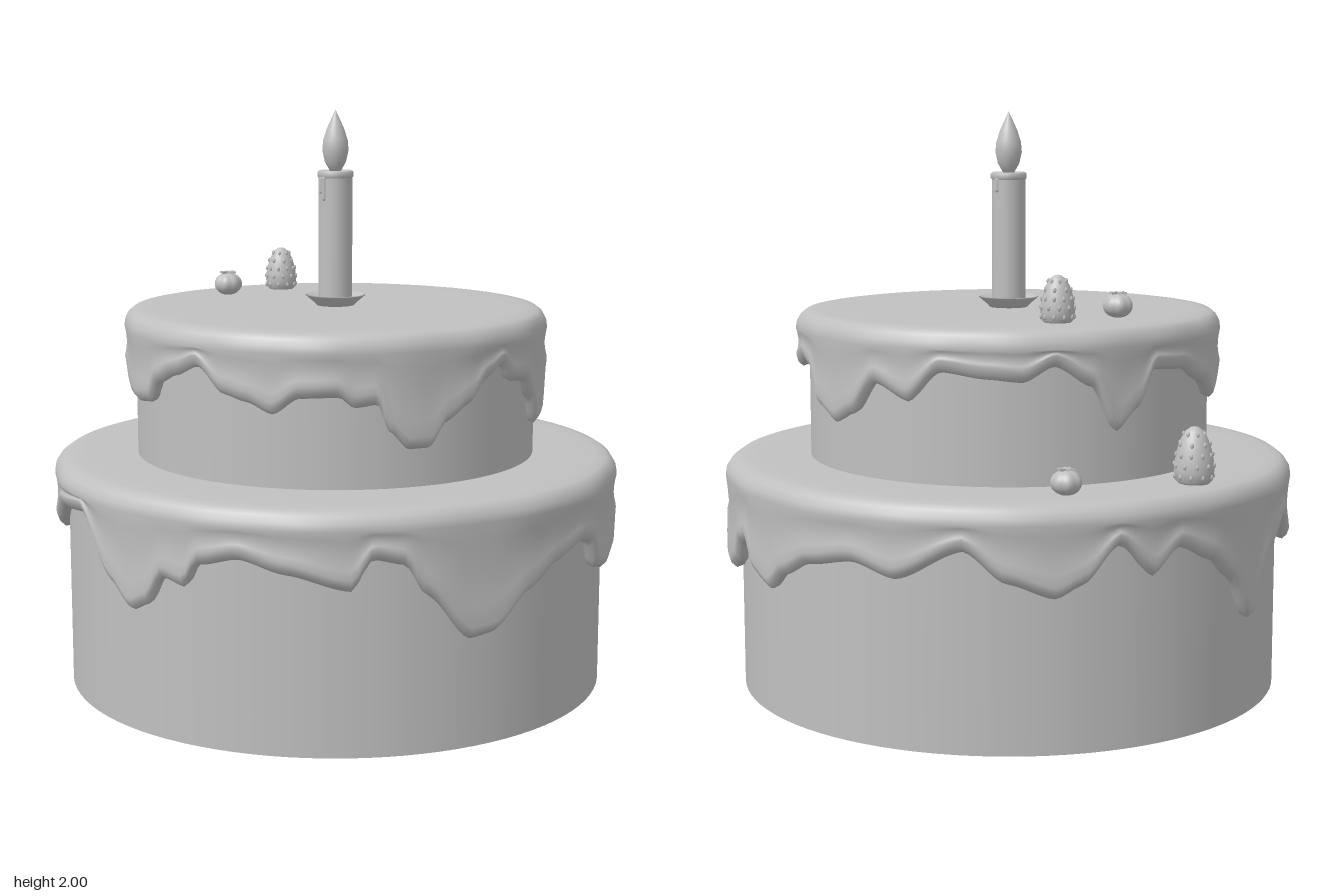
import * as THREE from 'three';

const material = new THREE.MeshStandardMaterial({ color: 0xc0c0c0 });
material.name = 'plain grey';

// Lower edge of the icing: [degrees from the front towards +x, height] pairs
const LOWER_EDGE = [0, .6, 12, .55, 16, .65, 22, .63, 26, .53, 35, .37, 40, .38, 48, .49, 56, .56, 65, .6, 70, .58,
  73, .48, 80, .455, 86, .48, 89, .58, 104, .6, 108, .57, 112, .455, 117, .43, 123, .47, 126, .55, 131, .57,
  135, .48, 141, .445, 146, .51, 154, .57, 164, .6, 173, .56, 186, .66, 194, .56, 203, .51, 208, .55, 215, .67,
  222, .56, 228, .64, 236, .58, 242, .5, 249, .34, 256, .54, 265, .63, 277, .51, 288, .58, 299, .67, 311, .69,
  322, .49, 327, .42, 331, .45, 335, .55, 340, .53, 343, .61, 351, .64];
const UPPER_EDGE = [0, 1.11, 10, 1.115, 14, 1.08, 20, 1.09, 23, 1.0, 28, .94, 34, .94, 39, 1.02, 46, 1.07, 51, 1.14,
  58, 1.18, 62, 1.12, 70, 1.11, 75, 1.04, 80, .94, 85, .95, 89, 1.08, 94, 1.11, 104, 1.135, 111, 1.12, 120, 1.157,
  128, 1.135, 134, 1.02, 142, .98, 150, 1.02, 158, 1.13, 168, 1.08, 177, 1.18, 189, 1.16, 198, 1.15, 206, 1.2,
  216, 1.13, 223, .98, 230, 1.05, 235, 1.17, 246, 1.16, 257, 1.1, 266, 1.03, 277, 1.1, 285, 1.11, 298, 1.04,
  303, 1.03, 311, 1.04, 315, 1.11, 323, 1.15, 331, 1.19, 339, 1.11, 346, 1.09, 353, 1.055];

// Smooth interpolation between the edge points, closed around the circle
function edgeHeight(points, deg) {
  const n = points.length;
  let i = n - 2;
  while (points[i] > deg) i -= 2;
  const a0 = points[i], y0 = points[i + 1];
  const a1 = i + 2 < n ? points[i + 2] : 360, y1 = points[(i + 3) % n];
  const t = (deg - a0) / (a1 - a0);
  return y0 + (y1 - y0) * (0.35 * t + 0.65 * t * t * (3 - 2 * t));
}

function add(parent, name, geometry, x = 0, y = 0, z = 0) {
  const mesh = new THREE.Mesh(geometry, material);
  mesh.name = name;
  mesh.position.set(x, y, z);
  parent.add(mesh);
  return mesh;
}

function lathe(points, segments) {
  return new THREE.LatheGeometry(points.map(p => new THREE.Vector2(p[0], p[1])), segments);
}

// Icing: a rounded cap whose side runs down to the wavy edge and curls in
function icingGeometry(radius, top, thick, edge) {
  const columns = 300, position = [], index = [];
  let rows = 0;
  for (let j = 0; j < columns; j++) {
    const deg = j * 360 / columns, a = THREE.MathUtils.degToRad(deg);
    const low = edgeHeight(edge, deg);
    const bump = 0.003 * Math.sin(a * 7 + 1) + 0.002 * Math.sin(a * 17);
    const t = thick + bump, shoulder = top - 0.065;
    const profile = [[0.0001, top], [radius * 0.5, top], [radius * 0.9, top], [radius - 0.025, top - 0.001],
      [radius + t * 0.25, top - 0.006], [radius + t * 0.65, top - 0.02], [radius + t * 0.92, top - 0.042]];
    for (let k = 0; k <= 5; k++) {
      const s = k / 5;
      const r = radius + t * (1 - 0.18 * Math.sin(Math.PI * s));
      profile.push([r, shoulder + (low + 0.04 - shoulder) * s]);
    }
    profile.push([radius + t * 0.85, low + 0.016], [radius + t * 0.5, low], [radius - 0.012, low + 0.012]);
    rows = profile.length;
    for (const [r, y] of profile) position.push(r * Math.sin(a), y, r * Math.cos(a));
  }
  for (let j = 0; j < columns; j++) {
    const next = (j + 1) % columns;
    for (let i = 0; i < rows - 1; i++) {
      const p = j * rows + i, q = next * rows + i;
      index.push(p, p + 1, q + 1, p, q + 1, q);
    }
  }
  const geometry = new THREE.BufferGeometry();
  geometry.setAttribute('position', new THREE.Float32BufferAttribute(position, 3));
  geometry.setIndex(index);
  geometry.computeVertexNormals();
  return geometry;
}

// Strawberry standing on its wide end, with raised seeds in staggered rows
function strawberry(name, x, y, z, width, height) {
  const group = new THREE.Group();
  group.name = name;
  const shape = [[0, 0], [.7, 0], [.92, .08], [1, .24], [.96, .42], [.85, .6], [.68, .78], [.45, .92], [.2, .985], [0, 1]];
  add(group, 'strawberryBody', lathe(shape.map(p => [p[0] * width, p[1] * height]), 24));
  const seed = new THREE.SphereGeometry(0.006, 6, 5);
  [[.15, .95], [.34, .98], [.52, .9], [.7, .76], [.87, .53]].forEach(([h, r], row) => {
    const count = row < 3 ? 10 : 7;
    for (let i = 0; i < count; i++) {
      const a = (i + row % 2 / 2) / count * Math.PI * 2;
      const mesh = add(group, 'strawberrySeed', seed, Math.sin(a) * r * width, h * height, Math.cos(a) * r * width);
      mesh.scale.y = 1.6;
    }
  });
  group.position.set(x, y, z);
  return group;
}

// Round berry with shallow lobes and a star-shaped crown
function berry(name, x, y, z) {
  const group = new THREE.Group();
  group.name = name;
  const body = new THREE.SphereGeometry(0.05, 42, 16);
  const p = body.attributes.position;
  for (let i = 0; i < p.count; i++) {
    const a = Math.atan2(p.getX(i), p.getZ(i));
    const s = 0.93 + 0.1 * Math.abs(Math.cos(a * 3.5));
    p.setXYZ(i, p.getX(i) * s, p.getY(i) * 0.82, p.getZ(i) * s);
  }
  body.computeVertexNormals();
  add(group, 'berryBody', body, 0, 0.041, 0);
  const star = new THREE.Shape();
  for (let i = 0; i < 12; i++) {
    const r = i % 2 ? 0.012 : 0.03, a = i * Math.PI / 6;
    star[i ? 'lineTo' : 'moveTo'](r * Math.cos(a), r * Math.sin(a));
  }
  const crown = new THREE.ExtrudeGeometry(star, { depth: 0.008, bevelEnabled: false });
  crown.rotateX(-Math.PI / 2);
  add(group, 'berryCrown', crown, 0, 0.079, 0);
  group.position.set(x, y, z);
  return group;
}

export function createModel() {
  const model = new THREE.Group();
  model.name = 'tieredCake';

  // Tiers and icing
  add(model, 'lowerTier', new THREE.CylinderGeometry(0.945, 0.945, 0.78, 96), 0, 0.39, 0);
  add(model, 'lowerIcing', icingGeometry(0.945, 0.81, 0.05, LOWER_EDGE));
  add(model, 'upperTier', new THREE.CylinderGeometry(0.7, 0.7, 0.5, 96), 0, 1.05, 0);
  add(model, 'upperIcing', icingGeometry(0.7, 1.32, 0.042, UPPER_EDGE));

  // Candle with dish, melted rim, wax drips and flame
  const candle = new THREE.Group();
  candle.name = 'candle';
  add(candle, 'candleDish', lathe([[0, 1.315], [.062, 1.315], [.075, 1.33], [.105, 1.355], [.1, 1.358], [.06, 1.335]], 32));
  add(candle, 'candleStick', new THREE.CylinderGeometry(0.059, 0.059, 0.455, 32), 0, 1.5525, 0);
  add(candle, 'candleRim', lathe([[.056, 1.762], [.063, 1.77], [.063, 1.785], [.057, 1.791], [.046, 1.789], [0, 1.778]], 32));
  [[-50, 1.72], [-35, 1.695], [150, 1.73]].forEach(([deg, y]) => {
    const a = THREE.MathUtils.degToRad(deg);
    add(candle, 'waxDrip', new THREE.CapsuleGeometry(0.009, 1.765 - y, 4, 8),
      Math.sin(a) * 0.056, (y + 1.765) / 2, Math.cos(a) * 0.056);
  });
  add(candle, 'flame', lathe([[0, 1.775], [.02, 1.79], [.037, 1.82], [.046, 1.86], [.043, 1.895], [.03, 1.935],
    [.014, 1.97], [0, 2]], 24));
  model.add(candle);

  // Fruit on both tiers
  model.add(strawberry('upperStrawberry', -0.28, 1.315, -0.45, 0.057, 0.16));
  model.add(strawberry('lowerStrawberry', -0.735, 0.805, -0.45, 0.066, 0.19));
  model.add(berry('upperBerry', -0.44, 1.317, -0.245));
  model.add(berry('lowerBerry', -0.38, 0.81, -0.755));
  return model;
}
